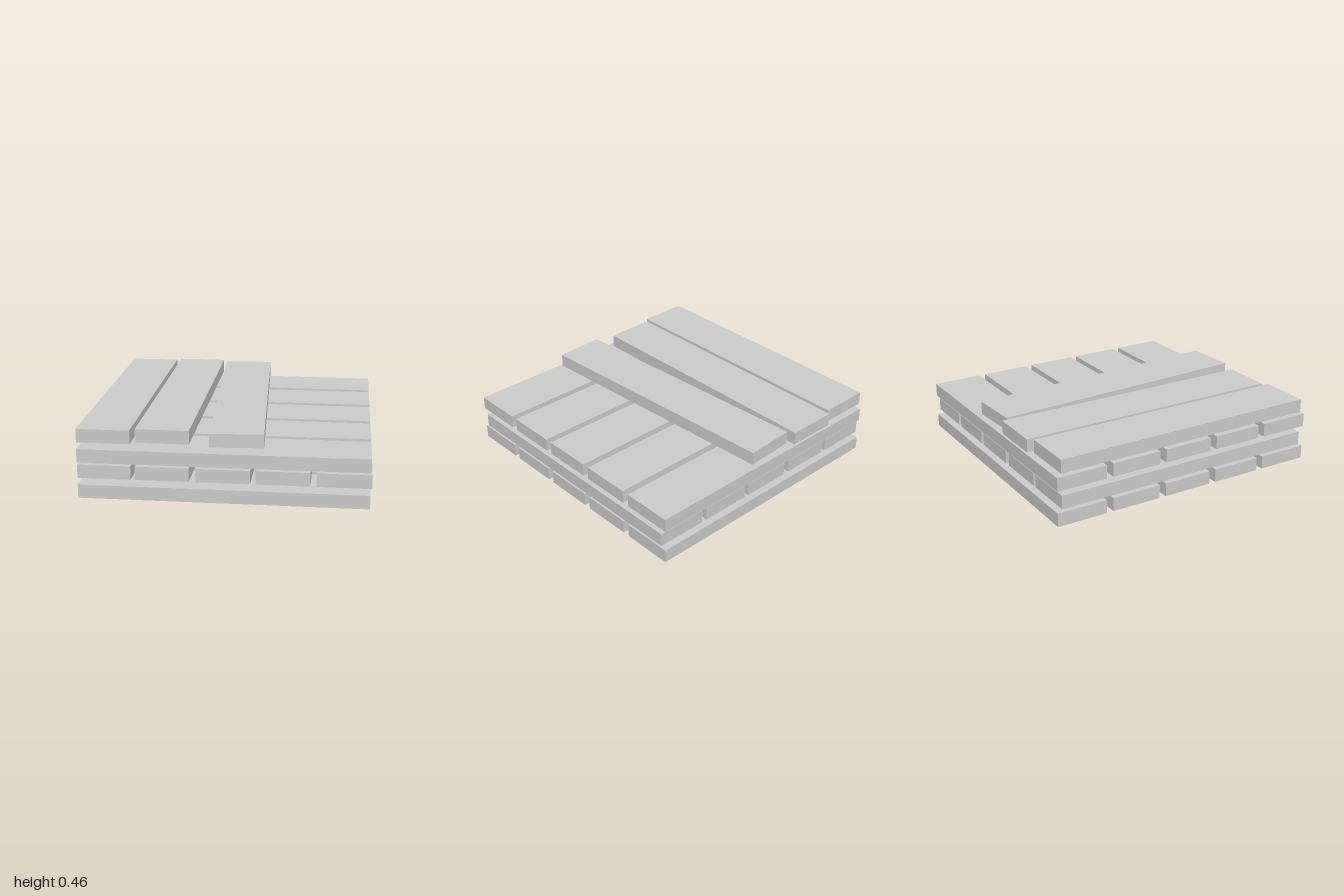
import * as THREE from 'three';

const WIDTH = 0.357, HEIGHT = 0.093, LENGTH = 1.915, PITCH = 0.123;

// Hollow plank shell: a box along z, resting on y = 0, without its underside
function plankGeometry() {
  const g = new THREE.BoxGeometry(WIDTH, HEIGHT, LENGTH);
  const index = Array.from(g.index.array);
  index.splice(18, 6);
  g.setIndex(index);
  g.clearGroups();
  return g.translate(0, HEIGHT / 2, 0);
}

export function createModel() {
  const model = new THREE.Group();
  model.name = 'plankStack';
  const material = new THREE.MeshStandardMaterial({
    color: 0xcccccc, flatShading: true, side: THREE.DoubleSide,
  });
  const geometry = plankGeometry();

  function addPlank(layer, name, x, z, turn) {
    const plank = new THREE.Mesh(geometry, material);
    plank.name = name;
    plank.position.set(x, 0, z);
    plank.rotation.y = turn;
    layer.add(plank);
  }

  const layers = ['bottomLayer', 'secondLayer', 'thirdLayer', 'topLayer'].map((name, i) => {
    const layer = new THREE.Group();
    layer.name = name;
    layer.position.y = i * PITCH;
    model.add(layer);
    return layer;
  });

  // Crosswise layers: five planks along x
  for (const layer of [layers[0], layers[2]]) {
    for (let i = -2; i <= 2; i++) addPlank(layer, 'crossPlank', -0.002, 0.004 + i * 0.407, Math.PI / 2);
  }

  // Lengthwise layer: five slightly uneven planks along z
  for (const x of [-0.792, -0.406, -0.002, 0.39, 0.787]) addPlank(layers[1], 'lengthPlank', x, -0.006, 0);

  // Unfinished top layer: two straight planks and one lying askew
  addPlank(layers[3], 'topPlank', -0.792, -0.008, 0);
  addPlank(layers[3], 'topPlank', -0.406, -0.043, 0);
  addPlank(layers[3], 'askewPlank', 0.034, -0.008, 0.056);

  return model;
}
